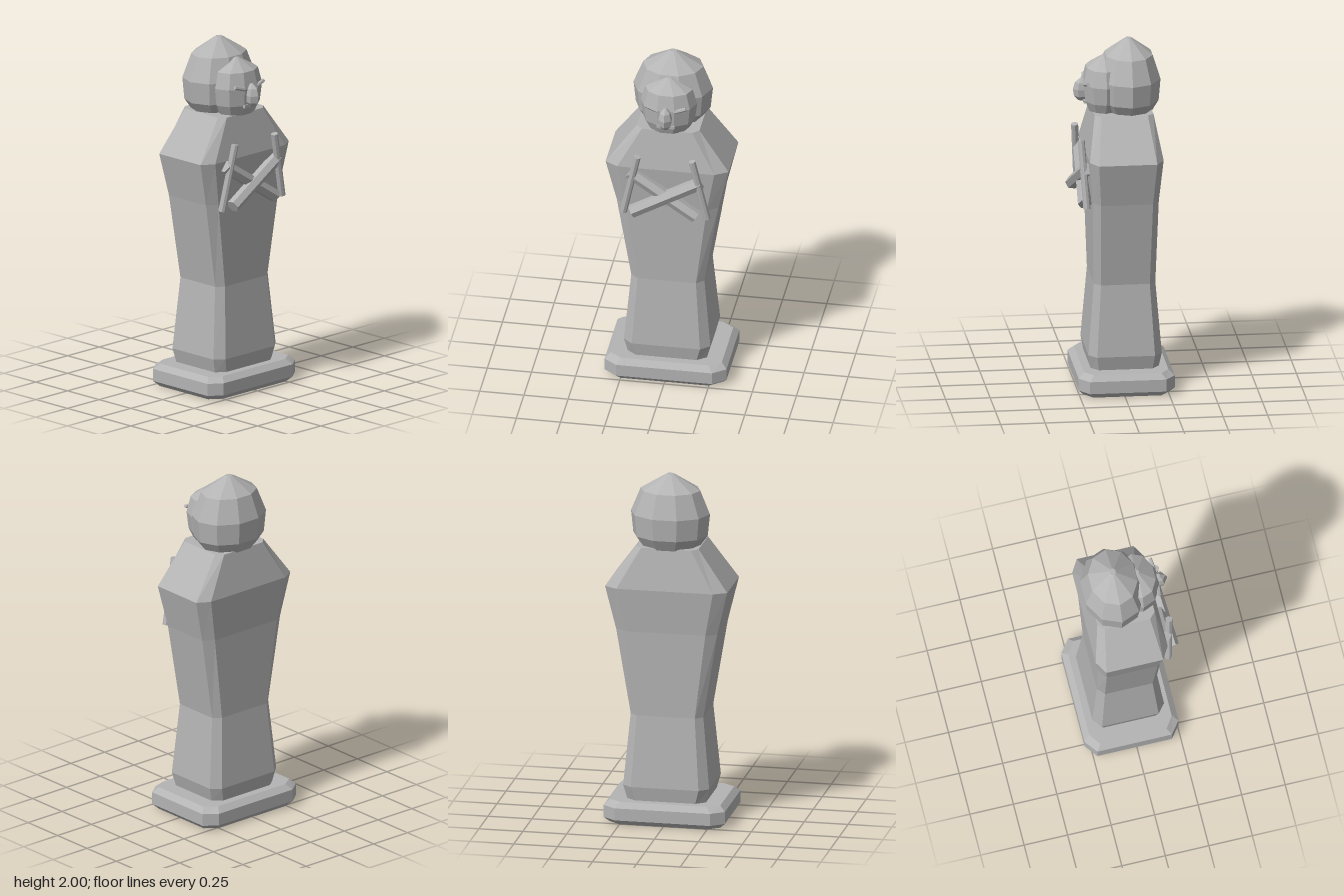
import * as THREE from 'three';

const stone = new THREE.MeshStandardMaterial({ color: 0xb4b4b4, flatShading: true });
stone.name = 'grey stone';

function add(group, name, geometry) {
  const mesh = new THREE.Mesh(geometry, stone);
  mesh.name = name;
  group.add(mesh);
  return mesh;
}

// Closed loft through chamfered rectangles: [y, half width, flat width, half depth, flat depth]
function chamferedLoft(rings, cz) {
  const pos = [], index = [], n = 8;
  for (const [y, hx, fx, hz, fz] of rings) {
    const corners = [[hx, fz], [fx, hz], [-fx, hz], [-hx, fz], [-hx, -fz], [-fx, -hz], [fx, -hz], [hx, -fz]];
    for (const [x, z] of corners) pos.push(x, y, z + cz);
  }
  for (let r = 0; r < rings.length - 1; r++) {
    for (let i = 0; i < n; i++) {
      const a = r * n + i, b = r * n + (i + 1) % n;
      index.push(a, a + n, b, b, a + n, b + n);
    }
  }
  const top = (rings.length - 1) * n;
  for (let i = 1; i < n - 1; i++) {
    index.push(0, i, i + 1);
    index.push(top, top + i + 1, top + i);
  }
  const g = new THREE.BufferGeometry();
  g.setAttribute('position', new THREE.Float32BufferAttribute(pos, 3));
  g.setIndex(index);
  const flat = g.toNonIndexed();
  flat.computeVertexNormals();
  return flat;
}

// Faceted oval form from a [radius, y] profile, bottom to top, flattened in z
function oval(profile, sides, phi, depth, z) {
  const points = profile.map(([r, y]) => new THREE.Vector2(r, y));
  const g = new THREE.LatheGeometry(points, sides, phi);
  g.scale(1, 1, depth);
  g.translate(0, 0, z);
  return g;
}

// Straight rod between two points
function rod(group, name, from, to, radius, sides) {
  const a = new THREE.Vector3(...from), b = new THREE.Vector3(...to);
  const mesh = add(group, name, new THREE.CylinderGeometry(radius, radius, a.distanceTo(b), sides));
  mesh.position.copy(a).add(b).multiplyScalar(0.5);
  mesh.quaternion.setFromUnitVectors(new THREE.Vector3(0, 1, 0), b.sub(a).normalize());
  return mesh;
}

export function createModel() {
  const model = new THREE.Group();
  model.name = 'statuette';

  // Bevelled plinth
  add(model, 'base', chamferedLoft([
    [0, 0.315, 0.247, 0.24, 0.19],
    [0.03, 0.345, 0.272, 0.27, 0.214],
    [0.1, 0.345, 0.272, 0.27, 0.214],
    [0.13, 0.315, 0.247, 0.237, 0.19],
  ], -0.015));

  // Wrapped body from feet to shoulders and neck
  add(model, 'body', chamferedLoft([
    [0.12, 0.222, 0.17, 0.19, 0.15],
    [0.21, 0.245, 0.193, 0.206, 0.162],
    [0.62, 0.207, 0.165, 0.173, 0.137],
    [1.11, 0.288, 0.228, 0.185, 0.146],
    [1.36, 0.348, 0.275, 0.207, 0.163],
    [1.595, 0.178, 0.142, 0.165, 0.13],
  ], -0.015));

  // Headdress and face
  add(model, 'headdress', oval([
    [0, 1.585], [0.165, 1.585], [0.212, 1.65], [0.225, 1.775], [0.17, 1.91], [0.021, 2], [0, 2],
  ], 10, Math.PI / 2, 0.805, -0.056));
  add(model, 'face', oval([
    [0, 1.59], [0.115, 1.59], [0.147, 1.65], [0.16, 1.75], [0.134, 1.84], [0.014, 1.905], [0, 1.905],
  ], 10, Math.PI / 2, 0.77, 0.083));

  // Nose, mouth and eyes
  add(model, 'nose', oval([
    [0, 1.645], [0.016, 1.645], [0.036, 1.67], [0.041, 1.71], [0.032, 1.75], [0.008, 1.775], [0, 1.775],
  ], 6, 0, 1.25, 0.205));
  add(model, 'mouth', new THREE.BoxGeometry(0.1, 0.018, 0.03)).position.set(0, 1.648, 0.185);
  for (const s of [-1, 1]) {
    rod(model, s > 0 ? 'leftEye' : 'rightEye', [s * 0.112, 1.768, 0.184], [s * 0.048, 1.748, 0.193], 0.011, 6);
  }

  // Crossed forearms
  rod(model, 'rightForearm', [-0.185, 1.105, 0.24], [0.2, 1.305, 0.2], 0.038, 6);
  rod(model, 'leftForearm', [0.175, 1.09, 0.21], [-0.205, 1.335, 0.195], 0.038, 6);

  // Hand-held staffs
  for (const s of [-1, 1]) {
    rod(model, s > 0 ? 'leftStaff' : 'rightStaff', [s * 0.237, 1.08, 0.205], [s * 0.155, 1.457, 0.228], 0.02, 8);
  }
  return model;
}
